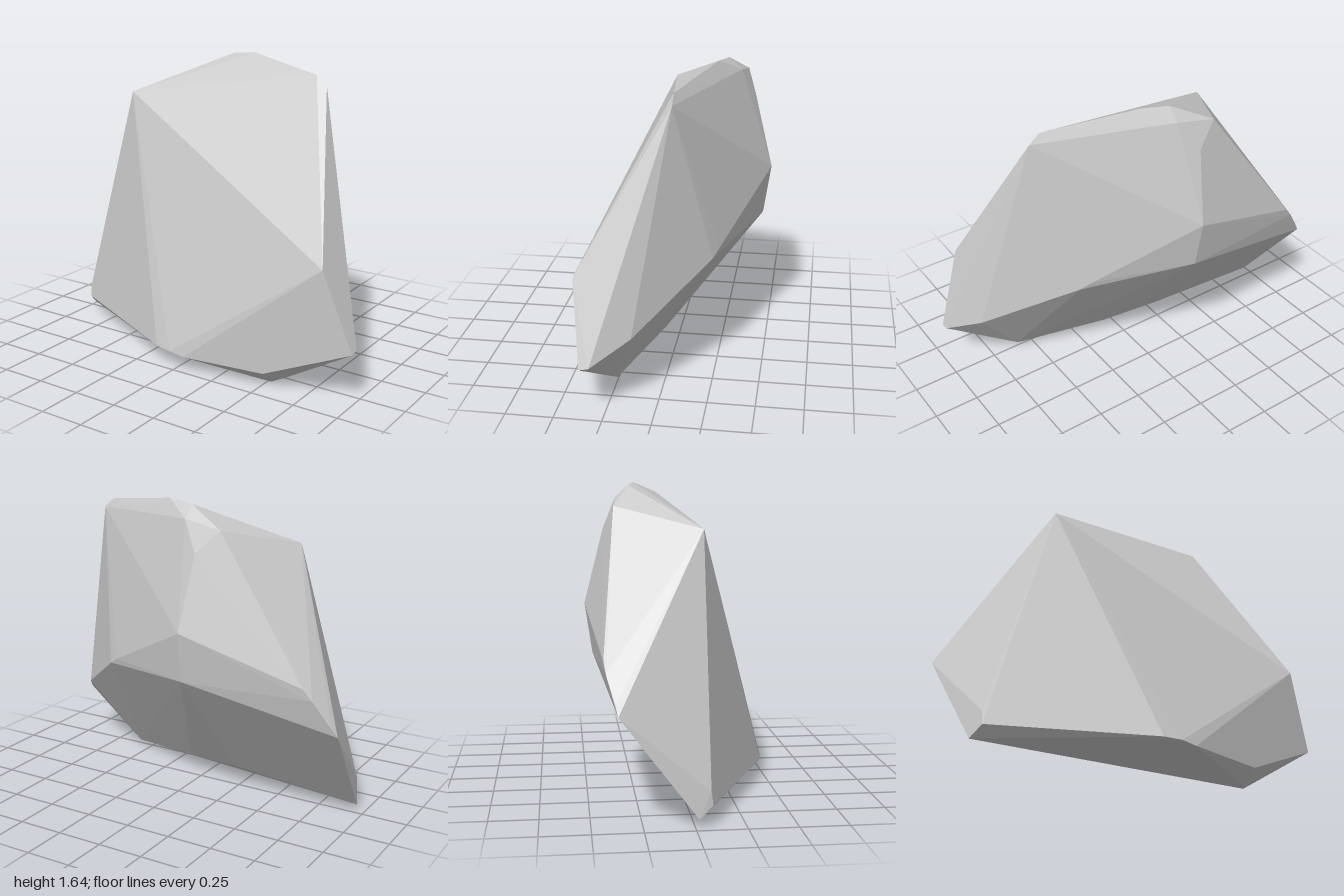
import * as THREE from 'three';
import { ConvexGeometry } from 'three/addons/geometries/ConvexGeometry.js';

// A faceted boulder: the convex hull of its corners, grouped by region.
const corners = {
  crest: [[-0.56, 1.41, 0.09], [-0.32, 1.52, -0.35], [-0.1, 1.625, -0.26], [0.06, 1.64, -0.22],
    [0.48, 1.585, -0.07], [0.54, 1.58, -0.05], [0.6, 1.53, -0.05]],
  back: [[-0.16, 1.0, -0.5], [-0.15, 0.73, -0.46], [-0.2, 1.4, -0.4], [-0.1, 1.56, -0.33],
    [0.39, 0.72, -0.27], [0.45, 0.68, -0.24]],
  rightEnd: [[-1, 0.56, -0.37], [-0.97, 0.61, -0.38], [-0.88, 0.74, -0.42], [-0.83, 0.8, -0.43],
    [-0.96, 0.04, 0.02], [-0.93, 0.1, 0.09], [-0.93, 0.17, 0.08]],
  leftEnd: [[0.85, 0.71, 0.41], [0.87, 0.4, 0.12], [1, 0.28, 0.36], [1, 0.29, 0.31]],
  foot: [[-0.13, 0.1, 0.47], [-0.03, 0.098, 0.49], [0.06, 0.085, 0.49], [0.52, 0.08, 0.42],
    [0.52, 0, 0.33], [0.59, 0.02, 0.25], [0.1, 0.09, 0.06], [-0.23, 0.11, 0], [-0.55, 0.03, 0.1]],
};

export function createModel() {
  const group = new THREE.Group();
  group.name = 'boulder';
  const points = Object.values(corners).flat().map((p) => new THREE.Vector3(...p));
  const rock = new THREE.Mesh(
    new ConvexGeometry(points),
    new THREE.MeshStandardMaterial({ color: 0xcccccc, flatShading: true }),
  );
  rock.name = 'rock';
  group.add(rock);
  return group;
}
